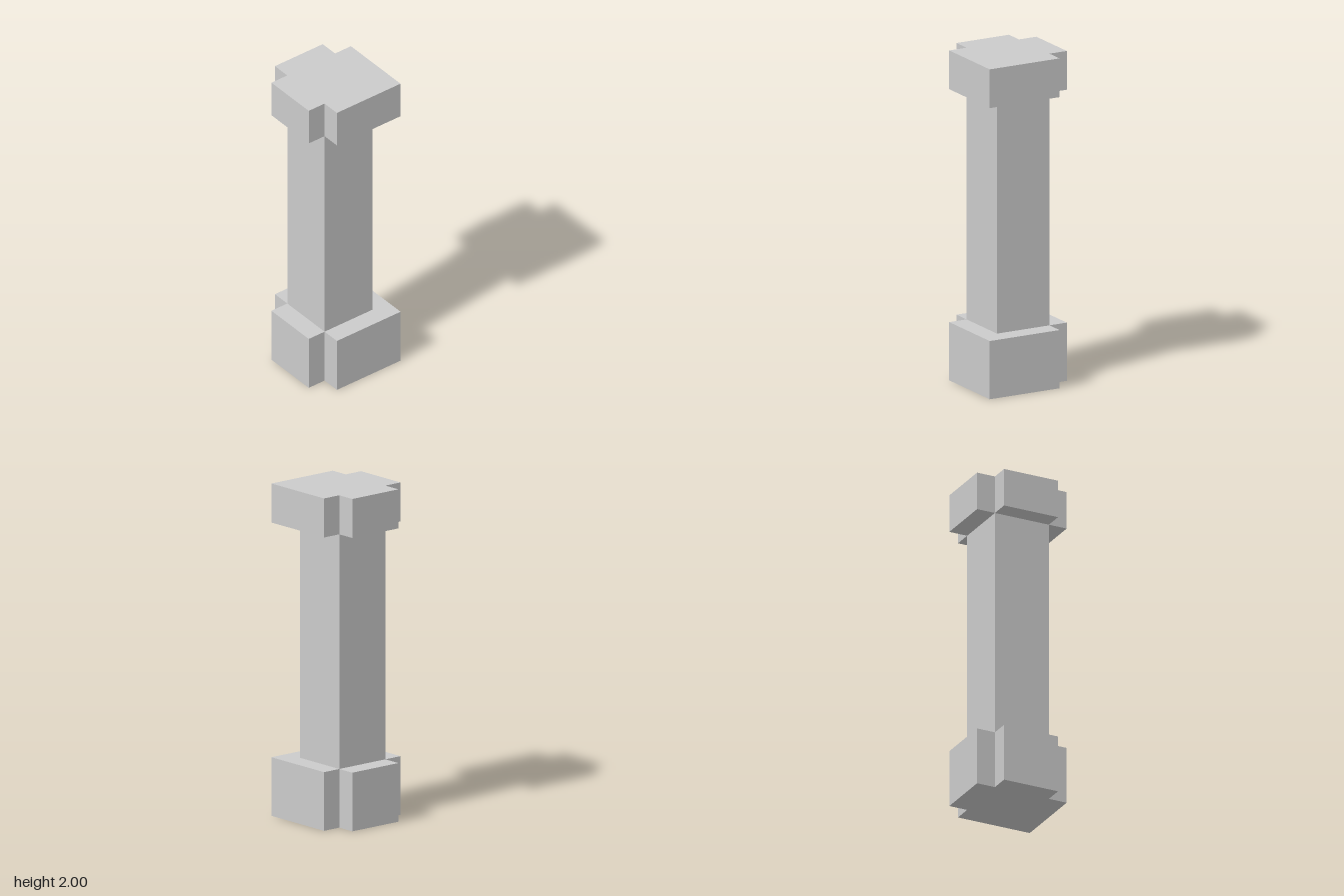
import * as THREE from 'three';

const INNER = 0.177; // half width of the shaft
const OUTER = 0.294; // half width of base and capital

export function createModel() {
  const group = new THREE.Group();
  group.name = 'pillar';
  const material = new THREE.MeshStandardMaterial({ color: 0xcccccc, flatShading: true });

  // Square plan (x, -z) with three notched corners; the front left corner is full
  const plan = new THREE.Shape([
    [-INNER, -OUTER], [OUTER, -OUTER], [OUTER, INNER], [INNER, INNER],
    [INNER, OUTER], [-INNER, OUTER], [-INNER, INNER], [-OUTER, INNER],
    [-OUTER, -INNER], [-INNER, -INNER],
  ].map(([x, y]) => new THREE.Vector2(x, y)));

  // Base and capital share the plan
  const addBlock = (name, bottom, top) => {
    const geometry = new THREE.ExtrudeGeometry(plan, { depth: top - bottom, bevelEnabled: false });
    geometry.rotateX(-Math.PI / 2);
    const mesh = new THREE.Mesh(geometry, material);
    mesh.name = name;
    mesh.position.y = bottom;
    group.add(mesh);
  };
  addBlock('base', 0, 0.353);
  addBlock('capital', 1.765, 2);

  // Square shaft between them
  const shaft = new THREE.Mesh(new THREE.BoxGeometry(2 * INNER, 1.765 - 0.353, 2 * INNER), material);
  shaft.name = 'shaft';
  shaft.position.y = (1.765 + 0.353) / 2;
  group.add(shaft);

  return group;
}
